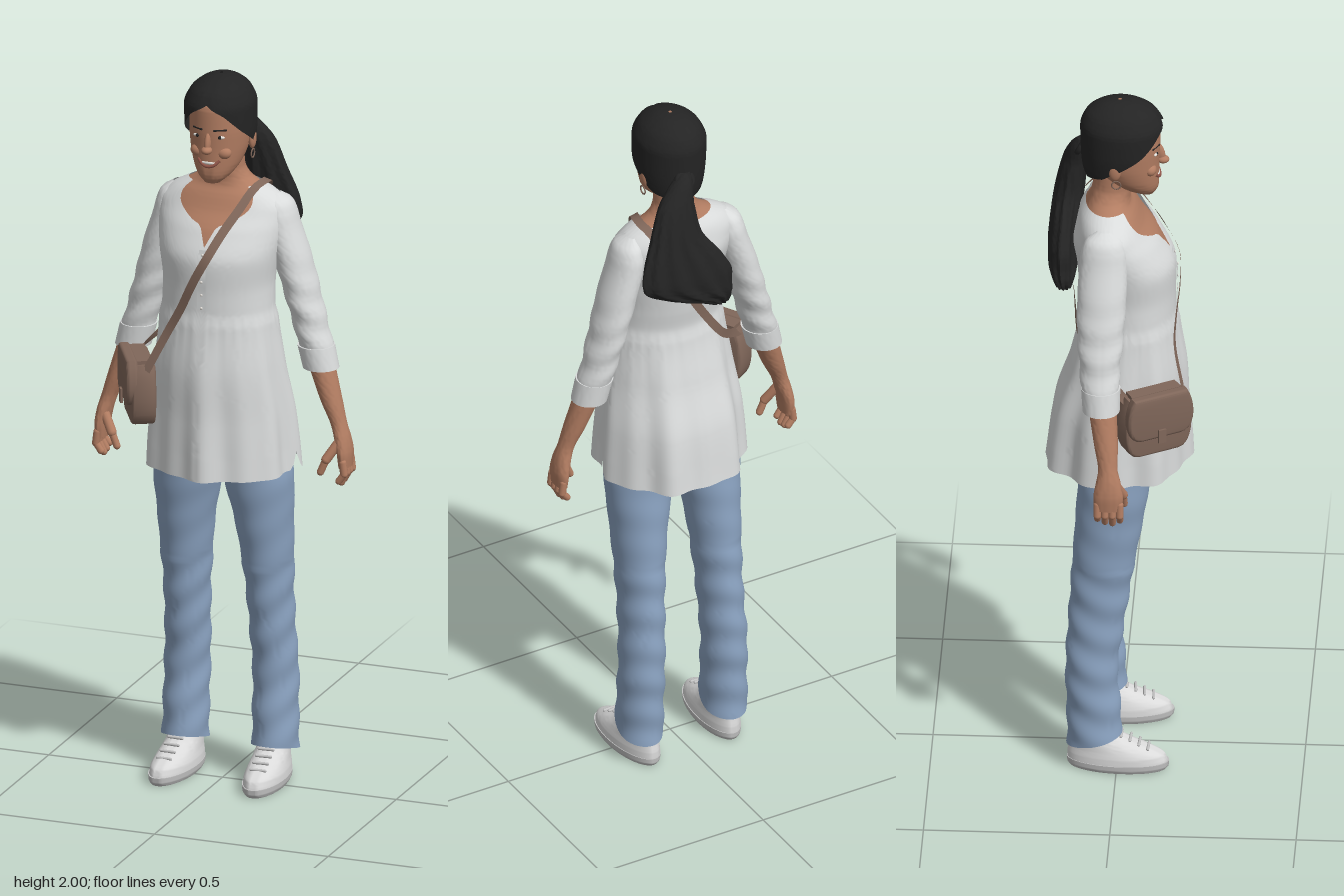
import * as THREE from 'three';
import { toCreasedNormals } from 'three/addons/utils/BufferGeometryUtils.js';

const mat = (name, color, side = THREE.DoubleSide) => {
  const m = new THREE.MeshStandardMaterial({ color, side });
  m.name = name;
  return m;
};

// Smooth, overshoot-free interpolation of rows [y, cx, cz, rx, rz] by height
function sectionAt(rows, y) {
  const n = rows.length - 1;
  const yy = Math.min(Math.max(y, rows[0][0]), rows[n][0]);
  let i = 0;
  while (i < n - 1 && yy > rows[i + 1][0]) i++;
  const h = rows[i + 1][0] - rows[i][0], t = (yy - rows[i][0]) / h;
  const slope = (k, c) => (rows[k + 1][c] - rows[k][c]) / (rows[k + 1][0] - rows[k][0]);
  const tangent = (k, c) => {
    if (k === 0) return slope(0, c);
    if (k === n) return slope(n - 1, c);
    const a = slope(k - 1, c), b = slope(k, c);
    return a * b <= 0 ? 0 : (2 * a * b) / (a + b);
  };
  return [1, 2, 3, 4].map((c) => {
    const t2 = t * t, t3 = t2 * t;
    return (2 * t3 - 3 * t2 + 1) * rows[i][c] + (t3 - 2 * t2 + t) * h * tangent(i, c)
      + (3 * t2 - 2 * t3) * rows[i + 1][c] + (t3 - t2) * h * tangent(i + 1, c);
  });
}

// Linear lookup in [[x, value], ...]
function lookup(table, x) {
  for (let i = 1; i < table.length; i++) {
    const [a, va] = table[i - 1], [b, vb] = table[i];
    if (x <= b) return va + ((vb - va) * (x - a)) / (b - a);
  }
  return table[table.length - 1][1];
}

// Skin of elliptical sections; low/high edges may vary with angle (0 = front)
function loft(rows, o = {}) {
  const { seg = 40, steps = 36, side = 1, ripple = () => 0, caps = false, crease = 0.9 } = o;
  const low = o.low || (() => rows[0][0]);
  const high = o.high || (() => rows[rows.length - 1][0]);
  const pos = [], idx = [];
  const first = caps ? -1 : 0, last = caps ? steps + 1 : steps;
  for (let i = first; i <= last; i++) {
    const t = Math.min(Math.max(i / steps, 0), 1), shrink = i < 0 || i > steps ? 0 : 1;
    for (let j = 0; j <= seg; j++) {
      const a = (j / seg) * Math.PI * 2 - Math.PI;
      const y = low(a) + (high(a) - low(a)) * t;
      const [cx, cz, rx, rz] = sectionAt(rows, y), r = ripple(a, y);
      pos.push(cx * side + (rx + r) * Math.sin(a) * shrink, y, cz + (rz + r) * Math.cos(a) * shrink);
    }
  }
  const w = seg + 1;
  for (let i = 0; i < last - first; i++) for (let j = 0; j < seg; j++) {
    const a = i * w + j, d = a + w;
    idx.push(a, a + 1, d, a + 1, d + 1, d);
  }
  const g = new THREE.BufferGeometry();
  g.setAttribute('position', new THREE.Float32BufferAttribute(pos, 3));
  g.setIndex(idx);
  return toCreasedNormals(g, crease);
}

// Flat band following a path, facing away from the body axis
function ribbon(points, width) {
  const curve = new THREE.CatmullRomCurve3(points.map((p) => new THREE.Vector3(...p)));
  const pos = [], idx = [], n = 60;
  for (let i = 0; i <= n; i++) {
    const p = curve.getPointAt(i / n), tan = curve.getTangentAt(i / n);
    const out = new THREE.Vector3(p.x * 0.4, p.y > 1.6 ? (p.y - 1.6) * 1.5 : 0, p.z + 0.02);
    const across = tan.cross(out).normalize().multiplyScalar(width / 2);
    pos.push(p.x - across.x, p.y - across.y, p.z - across.z, p.x + across.x, p.y + across.y, p.z + across.z);
    if (i < n) idx.push(2 * i, 2 * i + 1, 2 * i + 2, 2 * i + 1, 2 * i + 3, 2 * i + 2);
  }
  const g = new THREE.BufferGeometry();
  g.setAttribute('position', new THREE.Float32BufferAttribute(pos, 3));
  g.setIndex(idx);
  g.computeVertexNormals();
  return g;
}

const TORSO = [[0.9, 0.004, -0.006, 0.2, 0.188], [1.05, 0.002, 0, 0.19, 0.174], [1.2, 0, 0.02, 0.172, 0.15],
  [1.36, 0, 0.027, 0.155, 0.126], [1.42, 0, 0.023, 0.154, 0.129], [1.5, 0, 0.02, 0.164, 0.133],
  [1.58, 0, -0.005, 0.178, 0.12], [1.63, 0, -0.02, 0.182, 0.095], [1.665, 0, -0.025, 0.152, 0.08],
  [1.69, 0, -0.027, 0.104, 0.063]];
const SLEEVE = [[1.19, 0.27, -0.035, 0.046, 0.047], [1.3, 0.24, -0.04, 0.046, 0.054], [1.4, 0.213, -0.04, 0.047, 0.063],
  [1.5, 0.185, -0.037, 0.049, 0.066], [1.6, 0.156, -0.034, 0.046, 0.063], [1.645, 0.15, -0.033, 0.036, 0.05],
  [1.668, 0.14, -0.032, 0.012, 0.02]];
const HAIR = [[1.75, 0, -0.01, 0.07, 0.073], [1.8, 0, -0.002, 0.086, 0.097], [1.86, -0.001, 0.008, 0.095, 0.112],
  [1.92, -0.002, 0.008, 0.096, 0.113], [1.96, -0.002, 0.006, 0.08, 0.097], [1.985, -0.002, 0.004, 0.052, 0.064],
  [1.995, -0.002, 0.003, 0.03, 0.037], [2, -0.002, 0.002, 0.004, 0.005]];
const HAIRLINE = [[0, 1.94], [0.5, 1.912], [1, 1.865], [1.5, 1.825], [2, 1.79], [Math.PI, 1.765]];

export function createModel() {
  const root = new THREE.Group();
  root.name = 'standingWoman';
  const skin = mat('skin', 0xb27d62), hair = mat('blackHair', 0x242424), cloth = mat('whiteCotton', 0xd9dbdb);
  const denim = mat('blueDenim', 0x8aa2c0), leather = mat('brownLeather', 0x80675a), canvas = mat('shoeWhite', 0xdadada);
  const sole = mat('shoeSole', 0xc2c2c2), lip = mat('lips', 0x93574a), white = mat('eyeWhite', 0xe6e2dc);
  const add = (name, geo, m, parent = root) => {
    const mesh = new THREE.Mesh(geo, m);
    mesh.name = name;
    parent.add(mesh);
    return mesh;
  };
  const blob = (name, m, p, s, parent) => {
    const b = add(name, new THREE.SphereGeometry(1, 20, 14), m, parent);
    b.position.set(...p);
    b.scale.set(...s);
    return b;
  };
  const rod = (name, m, a, b, r, parent) => {
    const A = new THREE.Vector3(...a), B = new THREE.Vector3(...b), d = B.clone().sub(A);
    const c = add(name, new THREE.CapsuleGeometry(r, d.length(), 5, 12), m, parent);
    c.position.copy(A).add(B).multiplyScalar(0.5);
    c.quaternion.setFromUnitVectors(new THREE.Vector3(0, 1, 0), d.normalize());
  };

  // Tunic: fitted top, gathered skirt with folds, scooped neck and side slits
  const folds = (a, y) => {
    const t = THREE.MathUtils.clamp((1.36 - y) / 0.4, 0, 1);
    if (y > 1.36) return 0;
    return 0.006 * Math.min(1, t * 12) + 0.002 * Math.sin(34 * a) * Math.exp(-t * 5) * Math.min(1, t * 12)
      + t * (0.008 * Math.cos(7 * a) + 0.005 * Math.sin(12 * a + 1));
  };
  const neckline = (a) => {
    const d = Math.abs(a);
    return 1.69 - 0.095 * Math.max(0, 1 - (d / 0.85) ** 2) - 0.05 * Math.max(0, 1 - d / 0.13);
  };
  const hem = (a) => 0.9 + 0.05 * Math.max(0, 1 - Math.abs(Math.abs(a) - 1.57) / 0.08);
  add('tunic', loft(TORSO, { seg: 112, steps: 90, ripple: folds, low: hem, high: neckline }), cloth);
  const onChest = (x, y, lift) => {
    const [cx, cz, rx, rz] = sectionAt(TORSO, y);
    return [x, y, cz + rz * Math.sqrt(Math.max(0, 1 - ((x - cx) / rx) ** 2)) + lift];
  };
  add('placket', ribbon([1.37, 1.42, 1.47, 1.54].map((y) => onChest(0, y, 0.003)), 0.024), cloth);
  for (let i = 0; i < 5; i++) blob('button', white, onChest(0, 1.38 + i * 0.037, 0.004), [0.004, 0.004, 0.002]);

  // Neck and upper chest
  add('neck', loft([[1.5, 0, 0.02, 0.158, 0.127], [1.58, 0, -0.007, 0.172, 0.113], [1.63, 0, -0.022, 0.175, 0.088],
    [1.665, 0, -0.026, 0.145, 0.073], [1.69, 0, -0.027, 0.098, 0.058], [1.71, 0, -0.024, 0.069, 0.054],
    [1.74, 0, -0.018, 0.055, 0.053], [1.8, 0, -0.01, 0.053, 0.056]], { steps: 50 }), skin);

  // Arms
  for (const s of [1, -1]) {
    const arm = new THREE.Group();
    arm.name = s > 0 ? 'leftArm' : 'rightArm';
    root.add(arm);
    const crumple = (a, y) => 0.0022 * Math.sin(y * 75 + 2 * Math.sin(a * s)) * THREE.MathUtils.smoothstep(1.55 - y, 0, 0.2);
    add('sleeve', loft(SLEEVE, { side: s, steps: 60, ripple: crumple }), cloth, arm);
    add('cuff', loft([[1.188, 0.27, -0.035, 0.049, 0.05], [1.25, 0.255, -0.037, 0.05, 0.053]], { side: s, steps: 4, caps: true }), cloth, arm);
    add('forearm', loft([[0.925, 0.35, -0.012, 0.016, 0.036], [0.96, 0.349, -0.012, 0.019, 0.04], [1, 0.342, -0.012, 0.021, 0.034],
      [1.04, 0.33, -0.014, 0.022, 0.026], [1.1, 0.307, -0.02, 0.029, 0.032], [1.2, 0.272, -0.032, 0.036, 0.038]],
    { side: s, caps: true, seg: 28 }), skin, arm);
    for (let f = 0; f < 4; f++) {
      const z = 0.019 - f * 0.02, tip = 0.877 + Math.abs(f - 1.3) * 0.009;
      rod('finger', skin, [s * 0.353, 0.942, z], [s * 0.357, 0.91, z], 0.0105, arm);
      rod('fingertip', skin, [s * 0.357, 0.91, z], [s * 0.342, tip, z], 0.0095, arm);
    }
    rod('thumbBase', skin, [s * 0.334, 0.99, 0.008], [s * 0.308, 0.948, 0.026], 0.013, arm);
    rod('thumb', skin, [s * 0.308, 0.948, 0.026], [s * 0.293, 0.912, 0.028], 0.01, arm);
  }

  // Jeans
  const creases = (a, y) => 0.0025 * Math.sin(y * 60 + 2.5 * Math.cos(a + 0.6)) * (y < 0.62 ? 1 : 0.35);
  for (const s of [1, -1]) {
    add(s > 0 ? 'leftTrouserLeg' : 'rightTrouserLeg', loft([[0.075, 0.13, -0.06, 0.063, 0.074], [0.15, 0.129, -0.061, 0.061, 0.073],
      [0.3, 0.127, -0.068, 0.061, 0.07], [0.4, 0.123, -0.06, 0.06, 0.074], [0.5, 0.12, -0.05, 0.061, 0.078],
      [0.65, 0.116, -0.034, 0.07, 0.085], [0.75, 0.111, -0.022, 0.079, 0.091], [0.88, 0.1, -0.008, 0.095, 0.097],
      [1, 0.09, 0, 0.09, 0.1]], { side: s, steps: 90, ripple: creases, low: (a) => 0.088 + 0.018 * Math.cos(a) }), denim);

    // Shoes
    const shoe = new THREE.Group();
    shoe.name = s > 0 ? 'leftShoe' : 'rightShoe';
    shoe.position.x = s * 0.13;
    shoe.rotation.y = s * 0.06;
    root.add(shoe);
    add('sole', loft([[0, 0, 0.003, 0.05, 0.13], [0.01, 0, 0.003, 0.055, 0.137], [0.024, 0, 0.003, 0.056, 0.138]], { caps: true, steps: 6 }), sole, shoe);
    add('upper', loft([[0.022, 0, 0.002, 0.054, 0.135], [0.04, 0, -0.001, 0.053, 0.132], [0.058, 0, -0.014, 0.049, 0.116],
      [0.08, 0, -0.04, 0.045, 0.086], [0.1, 0, -0.056, 0.042, 0.066], [0.13, 0, -0.064, 0.038, 0.052]], { caps: true, steps: 24 }), canvas, shoe);
    for (let i = 0; i < 4; i++) {
      const y = 0.064 + i * 0.012, z = 0.089 - i * 0.024;
      rod('lace', sole, [-0.02, y, z - 0.004], [0.02, y, z - 0.004], 0.004, shoe);
    }
  }
  add('hips', loft([[0.865, 0, -0.008, 0.11, 0.06], [0.9, 0, -0.006, 0.18, 0.098], [1.1, 0, 0.01, 0.15, 0.1]], { caps: true, steps: 12 }), denim);

  // Head and face
  const head = new THREE.Group();
  head.name = 'head';
  root.add(head);
  add('face', loft([[1.715, 0, 0.072, 0.022, 0.022], [1.735, 0, 0.055, 0.045, 0.05], [1.77, 0, 0.03, 0.066, 0.077],
    [1.82, 0, 0.014, 0.079, 0.094], [1.87, 0, 0.01, 0.083, 0.1], [1.92, 0, 0.008, 0.083, 0.101], [1.96, 0, 0.006, 0.066, 0.08],
    [1.985, 0, 0.004, 0.03, 0.04]], { caps: true, steps: 48 }), skin, head);
  blob('noseBridge', skin, [0, 1.836, 0.108], [0.009, 0.03, 0.014], head).rotation.x = -0.25;
  blob('noseTip', skin, [0, 1.815, 0.117], [0.015, 0.011, 0.017], head);
  add('smile', new THREE.TubeGeometry(new THREE.CatmullRomCurve3([[-0.03, 1.784, 0.098], [-0.016, 1.771, 0.106], [0, 1.767, 0.109],
    [0.016, 1.771, 0.106], [0.03, 1.784, 0.098]].map((p) => new THREE.Vector3(...p))), 20, 0.0045, 8), lip, head);
  blob('teeth', white, [0, 1.776, 0.102], [0.022, 0.006, 0.007], head);
  for (const s of [1, -1]) {
    blob('eye', white, [s * 0.032, 1.85, 0.098], [0.013, 0.005, 0.006], head);
    blob('iris', hair, [s * 0.032, 1.85, 0.102], [0.005, 0.005, 0.004], head);
    rod('eyebrow', hair, [s * 0.018, 1.87, 0.107], [s * 0.046, 1.87, 0.092], 0.003, head);
    blob('cheek', skin, [s * 0.036, 1.803, 0.084], [0.022, 0.018, 0.018], head);
    blob('ear', skin, [s * 0.083, 1.822, -0.008], [0.01, 0.03, 0.017], head);
    const ring = add('earring', new THREE.TorusGeometry(0.012, 0.002, 6, 18), leather, head);
    ring.position.set(s * 0.086, 1.78, -0.004);
    ring.rotation.y = Math.PI / 2;
  }

  // Hair cap with a centre parting, gathered into a wide ponytail
  add('hairCap', loft(HAIR, { seg: 72, steps: 50, low: (a) => lookup(HAIRLINE, Math.abs(a)),
    ripple: (a) => -0.003 * Math.exp(-((a / 0.1) ** 2)) }), hair, head);
  const tie = add('hairTie', new THREE.TorusGeometry(0.022, 0.009, 8, 20), hair, head);
  tie.position.set(0.015, 1.845, -0.105);
  tie.rotation.x = 0.5;
  add('ponytail', loft([[1.452, -0.068, -0.145, 0.024, 0.018], [1.475, -0.05, -0.147, 0.052, 0.028], [1.51, -0.005, -0.15, 0.095, 0.038],
    [1.56, 0.034, -0.15, 0.132, 0.04], [1.61, 0.046, -0.147, 0.118, 0.039], [1.7, 0.06, -0.135, 0.073, 0.038],
    [1.78, 0.052, -0.122, 0.053, 0.034], [1.84, 0.026, -0.108, 0.032, 0.026], [1.868, 0.012, -0.1, 0.014, 0.014]],
  { seg: 72, steps: 60, caps: true, ripple: (a, y) => 0.0035 * Math.sin(11 * a + y * 9) * THREE.MathUtils.clamp((1.84 - y) * 6, 0, 1) }), hair, head);

  // Shoulder bag with flap, hung at the right hip
  const bag = new THREE.Group();
  bag.name = 'shoulderBag';
  bag.position.set(-0.198, 1.125, 0.103);
  bag.rotation.set(0, -1.06, 0);
  root.add(bag);
  const panel = (top, bottom, w, depth) => {
    const s = new THREE.Shape();
    s.moveTo(-w * 0.8, top);
    s.lineTo(w * 0.8, top);
    s.bezierCurveTo(w, top - 0.03, w * 1.1, bottom, w * 0.6, bottom);
    s.lineTo(-w * 0.6, bottom);
    s.bezierCurveTo(-w * 1.1, bottom, -w, top - 0.03, -w * 0.8, top);
    const g = new THREE.ExtrudeGeometry(s, { depth, bevelThickness: 0.01, bevelSize: 0.008, bevelSegments: 3, curveSegments: 10 });
    return toCreasedNormals(g.translate(0, 0, -depth / 2), 0.7);
  };
  add('bagBody', panel(0.07, -0.086, 0.095, 0.045), leather, bag);
  add('bagFlap', panel(0.084, -0.03, 0.093, 0.012), leather, bag).position.z = 0.032;
  add('bagTop', new THREE.BoxGeometry(0.145, 0.02, 0.055), leather, bag).position.set(0, 0.078, 0.005);
  add('bagClasp', new THREE.BoxGeometry(0.022, 0.04, 0.008), leather, bag).position.set(0, -0.03, 0.05);

  // Strap across the chest, over the left shoulder and down the back
  const chest = [[-0.098, 1.3], [-0.06, 1.37], [-0.022, 1.45], [0.015, 1.52], [0.048, 1.59], [0.075, 1.64]];
  add('bagStrap', ribbon([[-0.15, 1.19, 0.178], ...chest.map(([x, y], i) => onChest(x, y, i === 0 ? 0.024 : 0.013)),
    [0.1, 1.69, 0.02], [0.112, 1.698, -0.03], [0.1, 1.68, -0.085], [0.07, 1.6, -0.13], [0.02, 1.5, -0.128], [-0.04, 1.4, -0.118],
    [-0.105, 1.31, -0.1], [-0.175, 1.25, -0.04], [-0.235, 1.19, 0.035]], 0.024), leather);
  return root;
}
